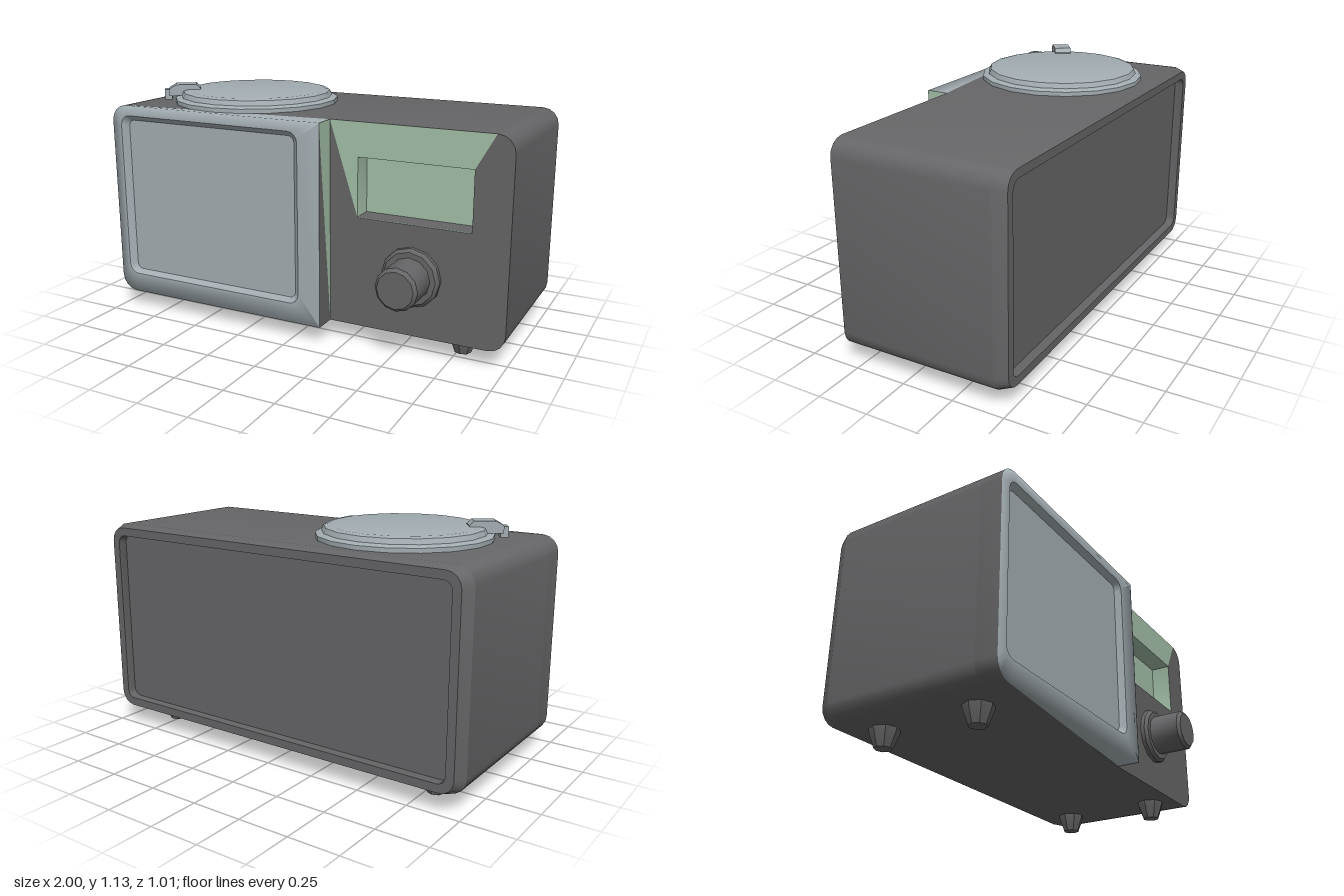
import * as THREE from 'three';
import { toCreasedNormals } from 'three/addons/utils/BufferGeometryUtils.js';

const flat = (name, color, side = THREE.FrontSide) => {
  const m = new THREE.MeshStandardMaterial({ color, side });
  m.name = name;
  return m;
};

// Rounded rectangle, counter-clockwise, separate radii for its -x and +x corners
function outline(x0, x1, y0, y1, rl, rr = rl) {
  const pts = [];
  const corners = [[x1 - rr, y0 + rr, rr, -90], [x1 - rr, y1 - rr, rr, 0], [x0 + rl, y1 - rl, rl, 90], [x0 + rl, y0 + rl, rl, 180]];
  for (const [cx, cy, r, start] of corners)
    for (let i = 0; i <= 4; i++) {
      const a = THREE.MathUtils.degToRad(start + i * 22.5);
      pts.push(new THREE.Vector2(cx + r * Math.cos(a), cy + r * Math.sin(a)));
    }
  return pts;
}

// Skin between successive outlines; each ring is [points, z or z(x)]
function loft(rings, crease) {
  const pos = [];
  const at = ([pts, z], i) => {
    const p = pts[i % pts.length];
    return [p.x, p.y, typeof z === 'function' ? z(p.x) : z];
  };
  for (let k = 0; k < rings.length - 1; k++)
    for (let i = 0; i < rings[k][0].length; i++) {
      const b = at(rings[k], i), c = at(rings[k], i + 1);
      const d = at(rings[k + 1], i + 1), e = at(rings[k + 1], i);
      pos.push(...b, ...c, ...d, ...b, ...d, ...e);
    }
  const g = new THREE.BufferGeometry();
  g.setAttribute('position', new THREE.Float32BufferAttribute(pos, 3));
  return toCreasedNormals(g, crease);
}

function cap(points, z, hole) {
  const s = new THREE.Shape(points);
  if (hole) s.holes.push(new THREE.Path(hole));
  return new THREE.ShapeGeometry(s).translate(0, 0, z);
}

const vecs = (list) => list.map(([x, y]) => new THREE.Vector2(x, y));

// Turned part around y, creased at its hard edges
const turned = (profile, sides) => toCreasedNormals(new THREE.LatheGeometry(vecs(profile), sides), 0.55);

export function createModel() {
  const model = new THREE.Group();
  const dark = flat('charcoal', 0x666567);
  const light = flat('silver grey', 0xa3adb2);
  const green = flat('pale green', 0xa3bfa8, THREE.DoubleSide);
  const darkThin = flat('charcoal thin', 0x666567, THREE.DoubleSide);
  const add = (name, geometry, material) => {
    const m = new THREE.Mesh(geometry, material);
    m.name = name;
    model.add(m);
    return m;
  };

  // Case: shallow back recess, rim, tapered back and straight walls
  const Y0 = 0.085, Y1 = 1.05, FRONT = 0.31;
  const full = outline(-1, 1, Y0, Y1, 0.08);
  const rim = outline(-0.97, 0.97, Y0 + 0.015, Y1 - 0.015, 0.07);
  const recess = outline(-0.93, 0.93, Y0 + 0.055, Y1 - 0.055, 0.04);
  add('case', loft([[recess, -0.46], [recess, -0.505], [rim, -0.505], [full, -0.45], [full, FRONT]], 0.45), dark);
  add('backPanel', cap(recess, 0).rotateY(Math.PI).translate(0, 0, -0.46), dark);

  // Right-hand front panel below the green surround
  const corner = full.slice(0, 10);
  add('controlPanel', cap([
    new THREE.Vector2(0.15, Y0), ...corner,
    ...vecs([[0.83, 0.89], [0.83, 0.61], [0.29, 0.61], [0.15, Y1]]),
  ], FRONT), dark);

  // Green surround and its recessed window
  const x0 = 0.29, x1 = 0.83, w0 = 0.61, w1 = 0.89, BACK = 0.21;
  add('windowSurround', cap(vecs([[0.15, Y1], [x0, w0], [x0, w1], [x1, w1], [0.92, Y1]]), FRONT), green);
  const win = outline(x0, x1, w0, w1, 0.003);
  add('windowWalls', loft([[win, FRONT], [win, BACK]], 0.3), green);
  add('windowBack', cap(win, BACK), green);
  const sill = new THREE.PlaneGeometry(x1 - x0, FRONT - BACK).rotateX(-Math.PI / 2);
  add('windowSill', sill.translate((x0 + x1) / 2, w0 + 0.003, (FRONT + BACK) / 2), dark);

  // Screen housing: dark sides run forward to a slanting seam, then silver
  const seam = (x) => 0.415 - 0.103 * (x + 1) / 1.15;
  const house = outline(-1, 0.15, Y0, Y1, 0.08, 0.004);
  const frame = outline(-0.95, 0.04, 0.18, 1.0, 0.05);
  const glass = outline(-0.92, 0.012, 0.2, 0.975, 0.03);
  add('screenHousing', loft([[house, FRONT], [house, seam]], 0.45), dark);
  add('screenBezel', loft([[house, seam], [house, 0.42], [frame, 0.42]], 1.7), light);
  add('screenFrame', loft([[frame, 0.42], [glass, 0.395]], 0.6), light);
  add('screen', cap(glass, 0.395), light);

  // Two-tone step beside the screen
  const stepFace = (name, corners, material) => {
    const g = new THREE.BufferGeometry();
    g.setAttribute('position', new THREE.Float32BufferAttribute(corners.flatMap(([y, z]) => [0.152, y, z]), 3));
    g.computeVertexNormals();
    add(name, g, material);
  };
  stepFace('stepGreen', [[Y1, 0.42], [Y0, FRONT], [Y1, FRONT]], green);
  stepFace('stepDark', [[Y1, 0.42], [Y0, 0.42], [Y0, FRONT]], darkThin);

  // Knob on a flange
  const knob = add('knob', turned([
    [0.14, 0], [0.14, 0.02], [0.125, 0.035], [0.1, 0.035], [0.1, 0.18], [0.085, 0.195], [0, 0.195],
  ], 12), dark);
  knob.rotation.x = Math.PI / 2;
  knob.position.set(0.56, 0.37, FRONT);

  // Round lid on top
  const lid = add('lid', turned([
    [0.41, 0], [0.41, 0.02], [0.395, 0.028], [0.38, 0.03], [0.37, 0.053], [0.345, 0.06], [0, 0.06],
  ], 18), light);
  lid.position.set(-0.43, Y1, -0.015);

  // Small latch lying across the lid's edge
  const latch = new THREE.Group();
  latch.name = 'lidLatch';
  const tab = new THREE.Mesh(
    new THREE.ExtrudeGeometry(new THREE.Shape(vecs([[-0.08, 0.03], [0.075, 0.03], [0.075, 0.065], [0.055, 0.085], [-0.045, 0.085], [-0.08, 0.065]])),
      { depth: 0.085, bevelEnabled: false }).translate(0, 0, -0.0425), light);
  tab.name = 'latchTab';
  const pin = new THREE.Mesh(new THREE.BoxGeometry(0.035, 0.05, 0.065), light);
  pin.name = 'latchPin';
  pin.position.set(-0.085, 0.035, 0);
  latch.add(tab, pin);
  latch.rotation.y = 0.6;
  latch.position.set(-0.75, Y1, 0.15);
  model.add(latch);

  // Four tapered feet
  for (const x of [-0.79, 0.77])
    for (const z of [0.18, -0.31]) {
      const foot = add('foot', turned([[0, 0], [0.04, 0], [0.066, 0.07], [0.07, 0.095]], 8), dark);
      foot.position.set(x, 0, z);
    }
  return model;
}
